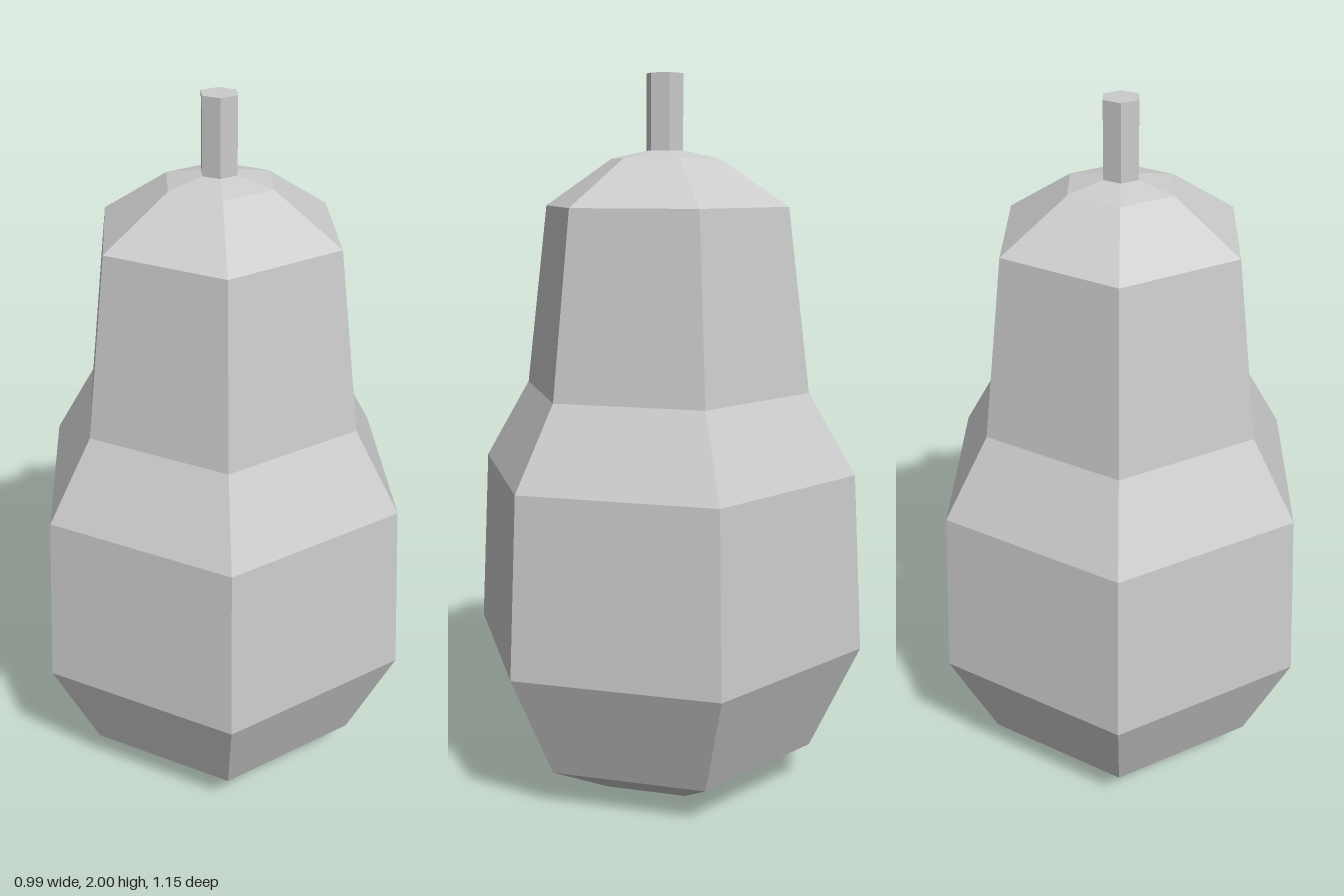
import * as THREE from 'three';

const SIDES = 6;

// Six-sided solid turned from [radius, height] pairs, listed bottom to top
function turned(name, profile, material) {
  const points = profile.map(([r, y]) => new THREE.Vector2(r, y));
  const mesh = new THREE.Mesh(new THREE.LatheGeometry(points, SIDES), material);
  mesh.name = name;
  return mesh;
}

export function createModel() {
  const group = new THREE.Group();
  group.name = 'gourd';
  const material = new THREE.MeshStandardMaterial({ color: 0xcccccc, flatShading: true });

  // Pear-shaped body: wide belly, waist, narrower shoulders, shallow crown
  group.add(turned('body', [
    [0, 0], [0.228, 0], [0.433, 0.11], [0.573, 0.415], [0.545, 0.915],
    [0.412, 1.14], [0.348, 1.645], [0.155, 1.773], [0.05, 1.795], [0, 1.797],
  ], material));

  // Stem
  group.add(turned('stem', [[0, 1.78], [0.052, 1.78], [0.052, 2], [0, 2]], material));

  return group;
}
